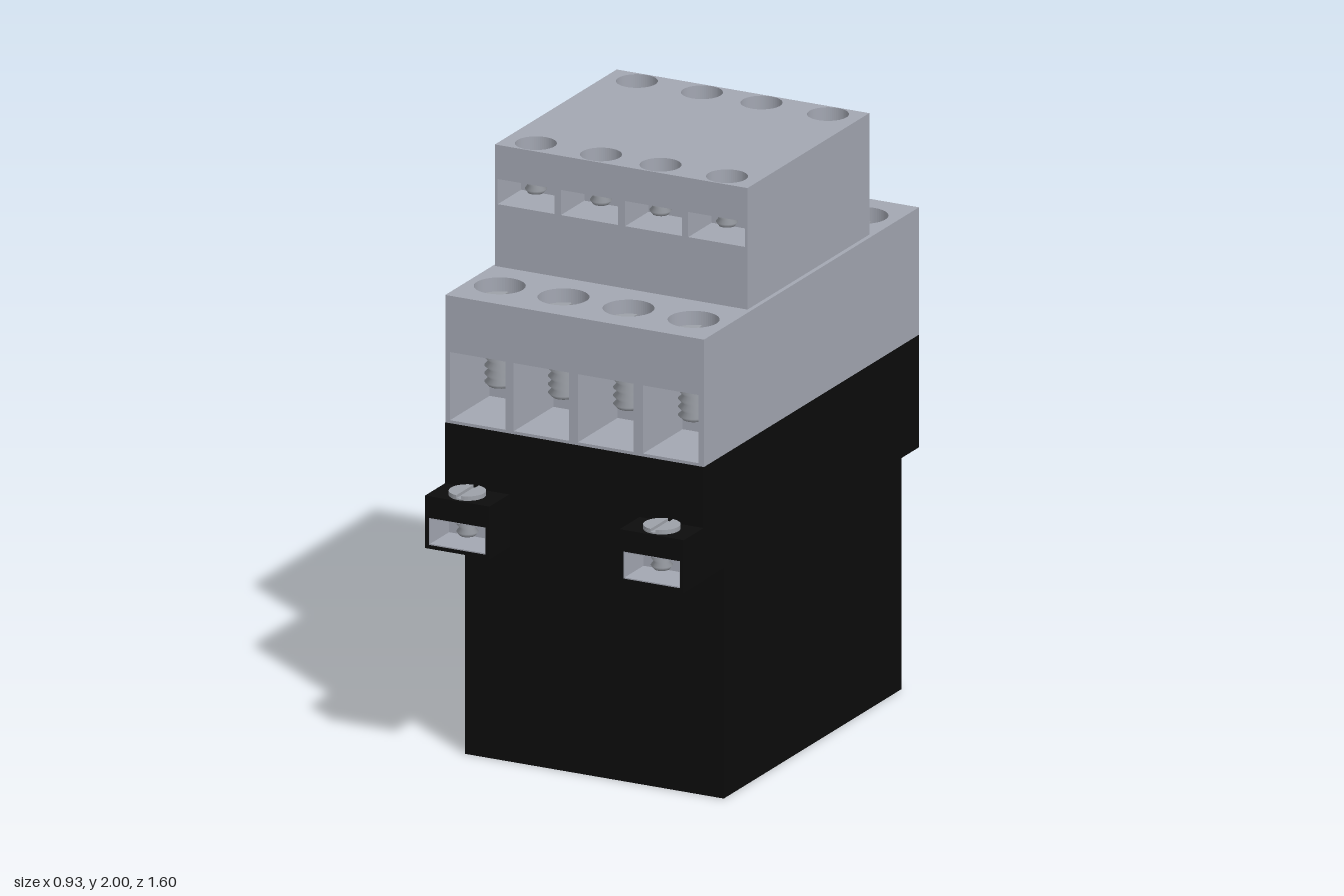
import * as THREE from 'three';

const mat = (name, color) => {
  const m = new THREE.MeshStandardMaterial({ color });
  m.name = name;
  return m;
};

export function createModel() {
  const grey = mat('housing grey', 0xa3a7b2);
  const black = mat('base black', 0x0c0c0c);
  const steel = mat('screw steel', 0x9da1a8);
  const root = new THREE.Group();
  root.name = 'contactor';

  const add = (parent, name, geometry, material) => {
    const mesh = new THREE.Mesh(geometry, material);
    mesh.name = name;
    parent.add(mesh);
    return mesh;
  };

  // box given by its low and high limits on each axis
  const block = (parent, name, material, x0, x1, y0, y1, z0, z1) =>
    add(parent, name, new THREE.BoxGeometry(x1 - x0, y1 - y0, z1 - z0), material)
      .position.set((x0 + x1) / 2, (y0 + y1) / 2, (z0 + z1) / 2);

  // plan outline (x, z) raised from y0 to y1
  const slab = (parent, name, material, points, y0, y1, holes = []) => {
    const shape = new THREE.Shape(points.map(([x, z]) => new THREE.Vector2(x, -z)));
    for (const [x, z, r] of holes) {
      shape.holes.push(new THREE.Path().absarc(x, -z, r, 0, Math.PI * 2, true));
    }
    const g = new THREE.ExtrudeGeometry(shape, { depth: y1 - y0, bevelEnabled: false, curveSegments: 32 });
    g.rotateX(-Math.PI / 2);
    g.translate(0, y0, 0);
    return add(parent, name, g, material);
  };

  // slotted screw: head disc, two half discs around the slot, threaded shank
  const screw = (parent, x, z, top, bottom, headR, shankR, headH) => {
    const s = new THREE.Group();
    s.name = 'terminalScrew';
    s.position.set(x, 0, z);
    parent.add(s);
    const half = headH / 2;
    add(s, 'screwHead', new THREE.CylinderGeometry(headR, headR, half, 32), steel).position.y = top - half * 1.5;
    const a = Math.asin(0.009 / headR);
    for (const side of [0, Math.PI]) {
      const pts = [];
      for (let i = 0; i <= 16; i++) {
        const t = side - Math.PI / 2 + a + (Math.PI - 2 * a) * i / 16;
        pts.push([headR * Math.cos(t), headR * Math.sin(t)]);
      }
      slab(s, 'screwHeadHalf', steel, pts, top - half, top);
    }
    const start = top - headH, turns = Math.round((start - bottom) / 0.027);
    const pitch = (start - bottom) / turns;
    const profile = [new THREE.Vector2(0, bottom)];
    for (let i = 0; i < turns; i++) {
      profile.push(new THREE.Vector2(shankR * 0.72, bottom + i * pitch));
      profile.push(new THREE.Vector2(shankR, bottom + (i + 0.5) * pitch));
    }
    profile.push(new THREE.Vector2(shankR * 0.72, start));
    add(s, 'screwThread', new THREE.LatheGeometry(profile, 20), steel);
  };

  // housing tier with wire openings front and back and screw wells on top
  const tier = (o) => {
    const t = new THREE.Group();
    t.name = o.name;
    root.add(t);
    const { x0, x1, zBack, zFront } = o;
    const rect = [[x0, zFront], [x1, zFront], [x1, zBack], [x0, zBack]];
    slab(t, 'tierBase', grey, rect, o.y0, o.open0);
    const row = (z, zIn) => o.openings.flatMap(([a, b]) => [[a, z], [a, zIn], [b, zIn], [b, z]]);
    const comb = [[x0, zFront], ...row(zFront, zFront - o.depth), [x1, zFront],
      [x1, zBack], ...row(zBack, zBack + o.depth).reverse(), [x0, zBack]];
    slab(t, 'wireOpenings', grey, comb, o.open0, o.open1);
    const centres = o.screwX.flatMap((x) => o.screwZ.map((z) => [x, z, o.wellR]));
    slab(t, 'tierTop', grey, rect, o.open1, o.y1, centres);
    for (const [x, z] of centres) {
      screw(t, x, z, o.y1 - 0.045, o.screwBottom, o.wellR - 0.006, o.shankR, 0.04);
    }
  };

  // black base
  block(root, 'lowerBase', black, -0.467, 0.467, 0, 0.78, -0.68, 0.53);
  block(root, 'upperBase', black, -0.467, 0.467, 0.78, 1.16, -0.8, 0.667);

  // main terminal tier
  tier({
    name: 'mainTerminalTier', x0: -0.467, x1: 0.467, y0: 1.16, y1: 1.59, zBack: -0.8, zFront: 0.665,
    open0: 1.17, open1: 1.4, depth: 0.27,
    openings: [[-0.45, -0.25], [-0.22, -0.02], [0.012, 0.212], [0.247, 0.447]],
    screwX: [-0.355, -0.125, 0.11, 0.345], screwZ: [0.505, -0.645],
    wellR: 0.083, shankR: 0.05, screwBottom: 1.255,
  });

  // auxiliary tier on top
  tier({
    name: 'auxiliaryTier', x0: -0.46, x1: 0.452, y0: 1.59, y1: 2, zBack: -0.49, zFront: 0.34,
    open0: 1.8, open1: 1.885, depth: 0.16,
    openings: [[-0.45, -0.245], [-0.222, -0.015], [0.01, 0.215], [0.238, 0.443]],
    screwX: [-0.35, -0.115, 0.1, 0.34], screwZ: [0.268, -0.42],
    wellR: 0.067, shankR: 0.036, screwBottom: 1.835,
  });

  // coil terminals on the front, with grey lined wire pockets
  for (const s of [-1, 1]) {
    const c = new THREE.Group();
    c.name = s > 0 ? 'leftCoilTerminal' : 'rightCoilTerminal';
    c.position.x = s * 0.351;
    root.add(c);
    const w = 0.116, p = 0.103, z0 = 0.667, z1 = 0.803;
    block(c, 'terminalFloor', black, -w, w, 0.778, 0.79, z0, z1);
    block(c, 'terminalRoof', black, -w, w, 0.882, 0.955, z0, z1);
    block(c, 'terminalWall', black, -w, -p, 0.79, 0.882, z0, z1);
    block(c, 'terminalWall', black, p, w, 0.79, 0.882, z0, z1);
    block(c, 'pocketBack', grey, -p, p, 0.79, 0.882, z0, z0 + 0.004);
    block(c, 'pocketFloor', grey, -p, p, 0.79, 0.794, z0, z1 - 0.002);
    block(c, 'pocketCeiling', grey, -p, p, 0.878, 0.882, z0, z1 - 0.002);
    for (const k of [-1, 1]) {
      const e = k * (p - 0.002);
      block(c, 'pocketSide', grey, e - 0.002, e + 0.002, 0.79, 0.882, z0, z1 - 0.002);
    }
    screw(c, 0, 0.733, 0.97, 0.82, 0.06, 0.036, 0.02);
  }

  return root;
}
